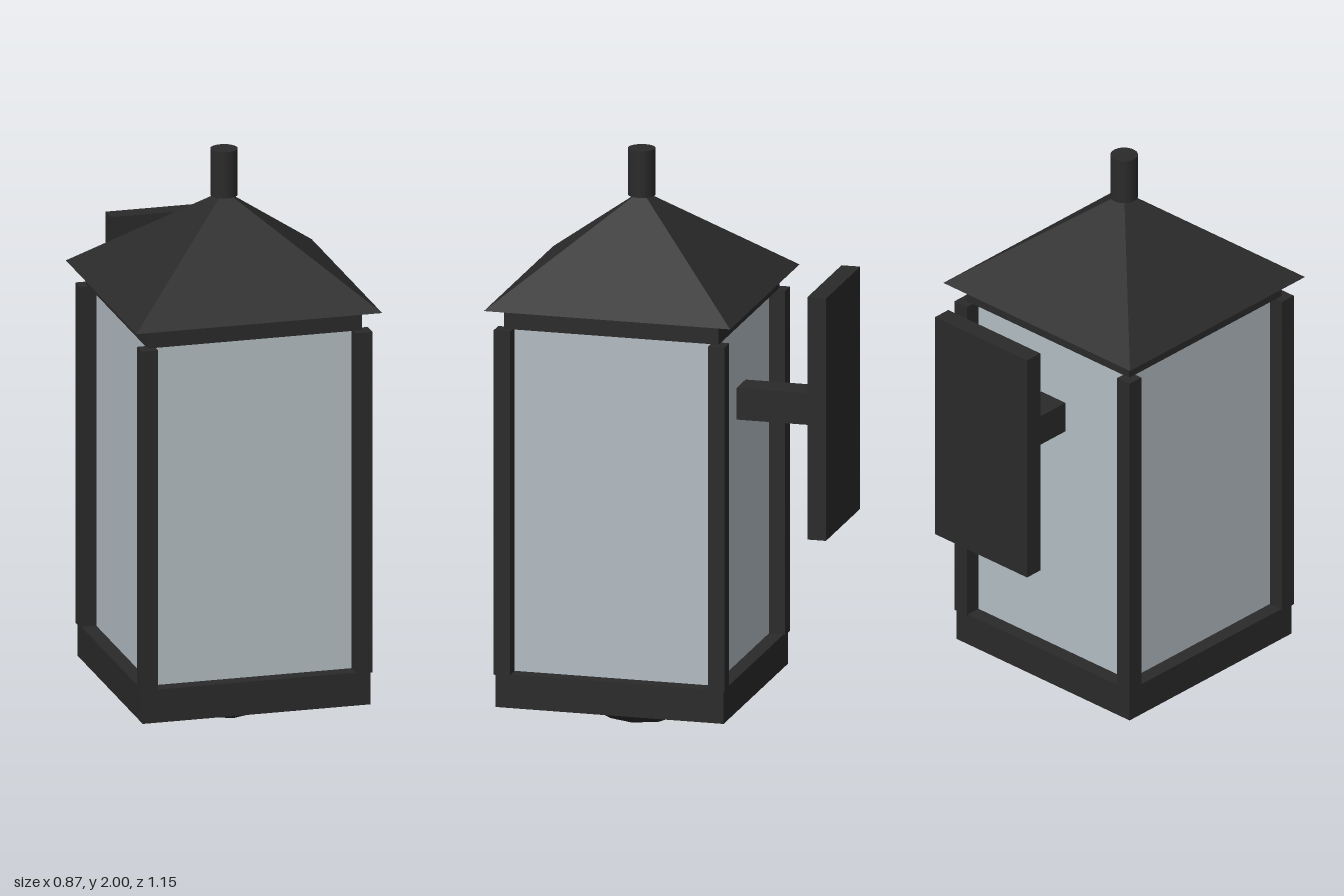
import * as THREE from 'three';

export function createModel() {
  const model = new THREE.Group();
  model.name = 'wallLantern';

  const metal = new THREE.MeshStandardMaterial({ color: 0x2a2a2a, flatShading: true });
  metal.name = 'dark metal';
  const metalSmooth = metal; // one colour throughout the frame
  const glass = new THREE.MeshStandardMaterial({ color: 0xb3bdc3 });
  glass.name = 'frosted glass';

  const add = (parent, name, geometry, material, x, y, z) => {
    const mesh = new THREE.Mesh(geometry, material);
    mesh.name = name;
    mesh.position.set(x, y, z);
    parent.add(mesh);
    return mesh;
  };
  // Box given by its width, depth and vertical extent
  const box = (parent, name, w, d, y0, y1, x = 0, z = 0, material = metal) =>
    add(parent, name, new THREE.BoxGeometry(w, y1 - y0, d), material, x, (y0 + y1) / 2, z);

  // Lantern body, set forward of the wall plate
  const lantern = new THREE.Group();
  lantern.name = 'lantern';
  lantern.position.z = 0.137;
  model.add(lantern);

  box(lantern, 'base', 0.808, 0.808, 0.1, 0.218);
  box(lantern, 'glassPanes', 0.704, 0.704, 0.218, 1.432, 0, 0, glass);
  box(lantern, 'topCap', 0.76, 0.76, 1.432, 1.505);

  // Corner posts
  for (const sx of [-1, 1]) {
    for (const sz of [-1, 1]) {
      box(lantern, 'cornerPost', 0.058, 0.058, 0.215, 1.432, sx * 0.38, sz * 0.38);
    }
  }

  // Tapered drop under the base
  add(lantern, 'bottomDrop', new THREE.CylinderGeometry(0.29, 0.12, 0.1, 8), metal, 0, 0.05, 0);

  // Pyramid roof
  const roof = new THREE.ConeGeometry(0.436 * Math.SQRT2, 0.345, 4);
  roof.rotateY(Math.PI / 4);
  add(lantern, 'roof', roof, metal, 0, 1.505 + 0.345 / 2, 0);

  // Finial
  add(lantern, 'finial', new THREE.CylinderGeometry(0.047, 0.047, 0.165, 32), metalSmooth, 0, 1.9175, 0);

  // Wall bracket
  const bracket = new THREE.Group();
  bracket.name = 'wallBracket';
  model.add(bracket);
  box(bracket, 'bracketArm', 0.112, 0.31, 1.08, 1.192, 0, -0.36);
  box(bracket, 'wallPlate', 0.43, 0.066, 0.72, 1.576, 0, -0.543);

  return model;
}
